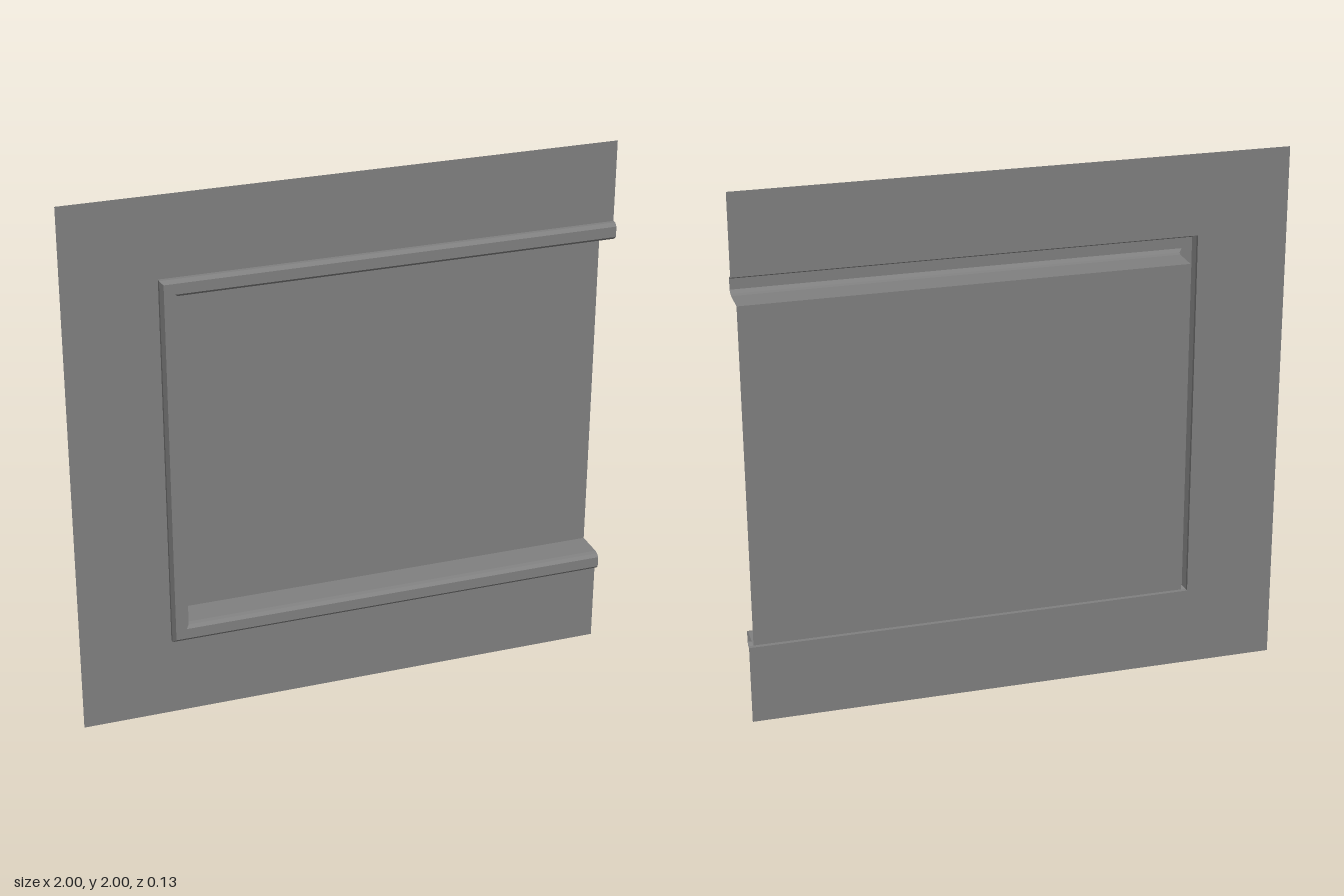
import * as THREE from 'three';

const LEFT = -0.6, BOTTOM = 0.367, TOP = 1.636, END = 1;
const WALL_Z = 0.04, BACK_Z = -0.067, FRONT_Z = 0.067, TRIM = 0.065;

// Strip following the opening's three sides, from one profile point to the next.
// A profile point is [distance outside the opening, z].
function sweep(profile, material, name) {
  const path = ([d, z]) => [
    [END, TOP + d, z], [LEFT - d, TOP + d, z], [LEFT - d, BOTTOM - d, z], [END, BOTTOM - d, z],
  ];
  const positions = [];
  for (let i = 0; i < profile.length - 1; i++) {
    const inner = path(profile[i]), outer = path(profile[i + 1]);
    for (let j = 0; j < 3; j++) {
      positions.push(...inner[j], ...outer[j], ...outer[j + 1]);
      positions.push(...inner[j], ...outer[j + 1], ...inner[j + 1]);
    }
  }
  const geometry = new THREE.BufferGeometry();
  geometry.setAttribute('position', new THREE.Float32BufferAttribute(positions, 3));
  geometry.computeVertexNormals();
  const mesh = new THREE.Mesh(geometry, material);
  mesh.name = name;
  return mesh;
}

export function createModel() {
  const group = new THREE.Group();
  group.name = 'recessedWallPanel';
  const grey = new THREE.MeshStandardMaterial({ color: 0x808080, side: THREE.DoubleSide });
  grey.name = 'grey';

  // Thin wall, notched from its open end
  const x = LEFT - TRIM, low = BOTTOM - TRIM, high = TOP + TRIM;
  const outline = [[-1, 0], [1, 0], [1, low], [x, low], [x, high], [1, high], [1, 2], [-1, 2]];
  const shape = new THREE.Shape(outline.map(([px, py]) => new THREE.Vector2(px, py)));
  const wall = new THREE.Mesh(new THREE.ShapeGeometry(shape), grey);
  wall.name = 'wall';
  wall.position.z = WALL_Z;
  group.add(wall);

  // Hollow raised moulding with bevelled edges
  group.add(sweep([
    [0.003, 0.055], [0.014, FRONT_Z], [0.053, FRONT_Z], [TRIM, 0.055], [TRIM, WALL_Z],
  ], grey, 'moulding'));

  // Sides of the recess
  group.add(sweep([[0, BACK_Z], [0, WALL_Z], [0.003, 0.055]], grey, 'recessSides'));

  // Back of the recess
  const back = new THREE.Mesh(new THREE.PlaneGeometry(END - LEFT, TOP - BOTTOM), grey);
  back.name = 'recessBack';
  back.position.set((END + LEFT) / 2, (TOP + BOTTOM) / 2, BACK_Z);
  group.add(back);

  return group;
}
